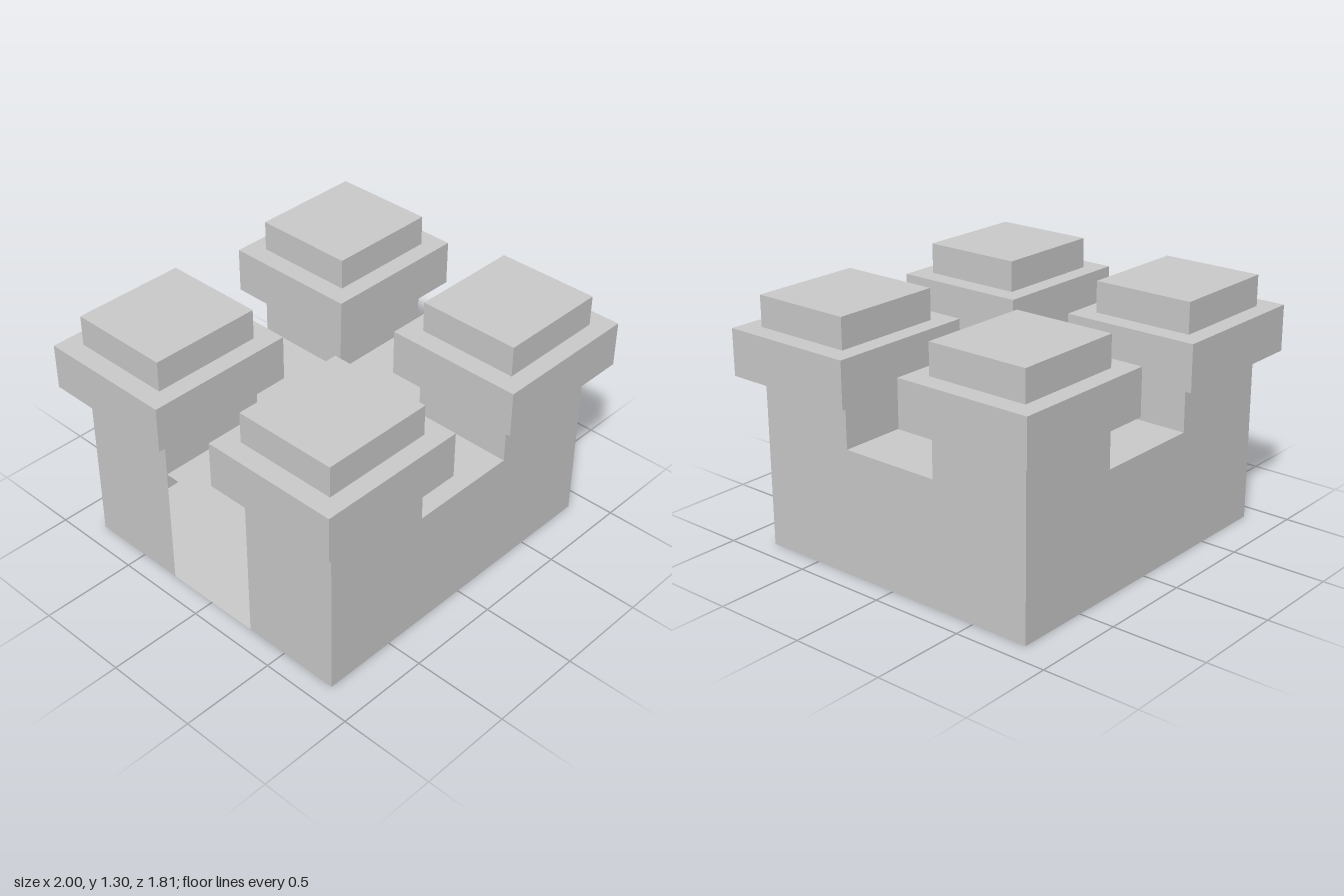
import * as THREE from 'three';

const W = 0.89, D = 0.81;      // half width and half depth of the keep
const SX = 0.295, SZ = 0.27;   // half widths of the gaps between towers
const SLOT = 0.65, SHAFT = 0.9, RIM = 1.14, TOP = 1.3;

const material = new THREE.MeshStandardMaterial({
  color: 0xcccccc, flatShading: true, side: THREE.DoubleSide,
});

const outline = (pts) => new THREE.ShapeGeometry(
  new THREE.Shape(pts.map(([x, y]) => new THREE.Vector2(x, y))));

// Wall with a notch between its two towers
const notchedWall = (w, s) => outline([
  [-w, 0], [w, 0], [w, SHAFT], [s, SHAFT], [s, SLOT], [-s, SLOT], [-s, SHAFT], [-w, SHAFT],
]);

const rect = (x0, x1, y0, y1) => outline([[x0, y0], [x1, y0], [x1, y1], [x0, y1]]);

export function createModel() {
  const model = new THREE.Group();
  model.name = 'fort';

  const add = (name, geometry, parent = model) => {
    const mesh = new THREE.Mesh(geometry, material);
    mesh.name = name;
    parent.add(mesh);
    return mesh;
  };

  // Outer shell: three notched walls, and an open doorway on the -x side
  add('frontWall', notchedWall(W, SX).translate(0, 0, D));
  add('backWall', notchedWall(W, SX).rotateY(Math.PI).translate(0, 0, -D));
  add('leftWall', notchedWall(D, SZ).rotateY(Math.PI / 2).translate(W, 0, 0));
  for (const [a, b] of [[-D, -SZ], [SZ, D]]) {
    add('doorwayWall', rect(a, b, 0, SHAFT).rotateY(-Math.PI / 2).translate(-W, 0, 0));
  }

  // Ground floor
  add('floor', rect(-W, W, -D, D).rotateX(Math.PI / 2));

  // Cross-shaped walkway between the towers
  add('walkway', outline([
    [-W, -SZ], [-SX, -SZ], [-SX, -D], [SX, -D], [SX, -SZ], [W, -SZ],
    [W, SZ], [SX, SZ], [SX, D], [-SX, D], [-SX, SZ], [-W, SZ],
  ]).rotateX(-Math.PI / 2).translate(0, SLOT, 0));

  // Stepped square tower cap: overhanging rim, then a smaller block
  const inner = 0.7425;
  const profile = [[inner, SHAFT], [1, SHAFT], [1, RIM], [inner, RIM], [inner, TOP], [0, TOP]]
    .map(([r, y]) => new THREE.Vector2(r * Math.SQRT2, y));
  const cap = new THREE.LatheGeometry(profile, 4)
    .rotateY(Math.PI / 4).scale(0.4, 1, 0.365).toNonIndexed();
  cap.computeVertexNormals();

  for (const sx of [-1, 1]) {
    for (const sz of [-1, 1]) {
      const tower = new THREE.Group();
      tower.name = 'tower';
      model.add(tower);
      // Faces of the shaft that look onto the walkway
      add('towerSide', rect(-(D - SZ) / 2, (D - SZ) / 2, SLOT, SHAFT)
        .rotateY(-sx * Math.PI / 2).translate(sx * SX, 0, sz * (D + SZ) / 2), tower);
      add('towerFace', rect(-(W - SX) / 2, (W - SX) / 2, SLOT, SHAFT)
        .rotateY(sz > 0 ? Math.PI : 0).translate(sx * (W + SX) / 2, 0, sz * SZ), tower);
      add('towerCap', cap, tower).position.set(sx * 0.597, 0, sz * 0.54);
    }
  }
  // Keep the widest caps within the two-unit width
  model.traverse((o) => { if (o.name === 'towerCap') o.position.x = Math.sign(o.position.x) * 0.6; });
  return model;
}
